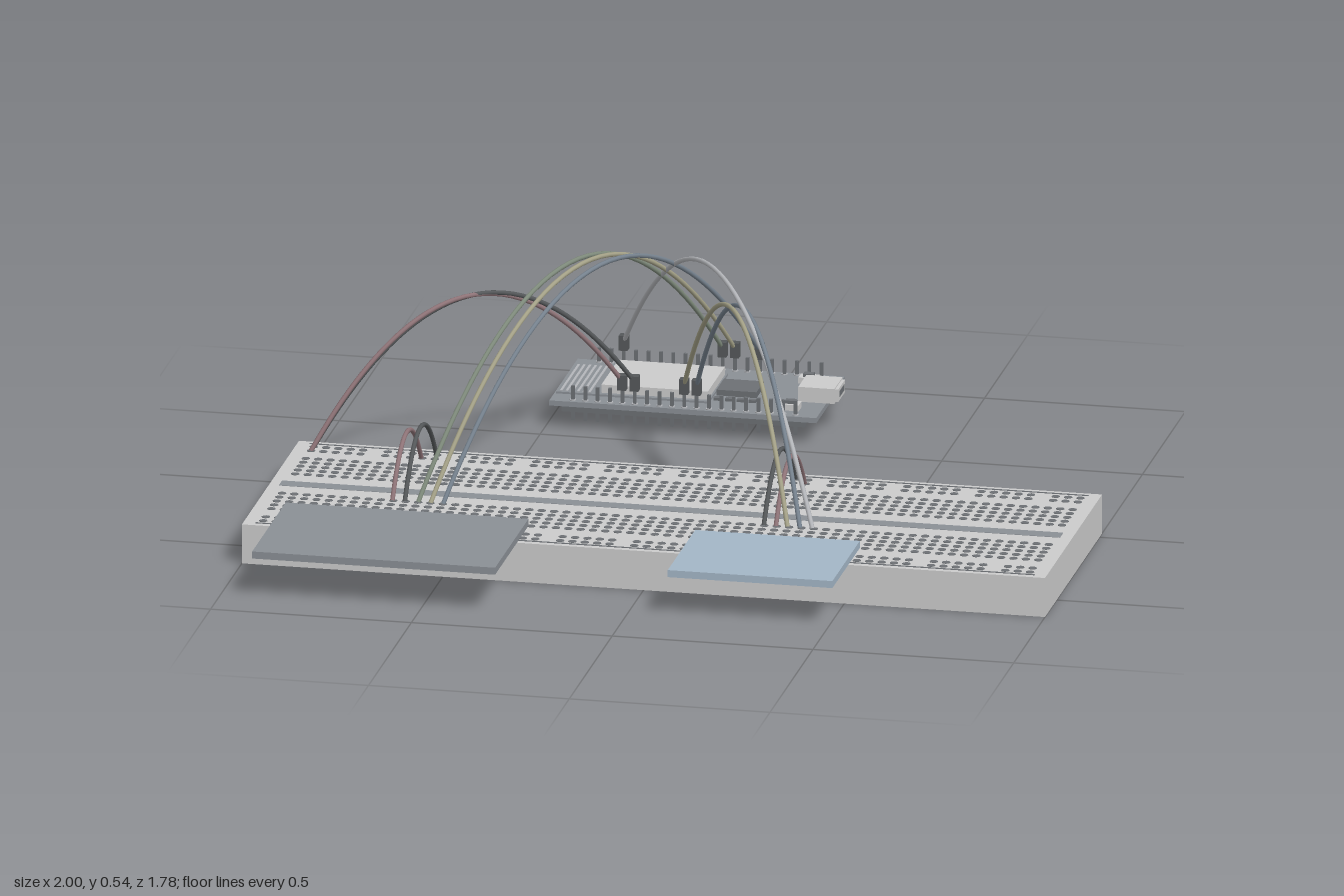
import * as THREE from 'three';
import { mergeGeometries } from 'three/addons/utils/BufferGeometryUtils.js';

const material = (color) => new THREE.MeshStandardMaterial({ color });
const GREY = material(0xcccccc), DARK = material(0x8a8f95), DEEP = material(0x6c7074);
const BLUE = material(0xa3b6c6), BLACK = material(0x55585a), RED = material(0x8f7478);
const GREEN = material(0x7f8b7c), YELLOW = material(0xa5a288), SLATE = material(0x77838f), PALE = material(0xb4b6ba);

// Box given by its lower and upper limits along each axis
function box(x0, x1, y0, y1, z0, z1) {
  return new THREE.BoxGeometry(x1 - x0, y1 - y0, z1 - z0)
    .translate((x0 + x1) / 2, (y0 + y1) / 2, (z0 + z1) / 2);
}

function add(parent, name, geometry, mat) {
  const mesh = new THREE.Mesh(Array.isArray(geometry) ? mergeGeometries(geometry) : geometry, mat);
  mesh.name = name;
  parent.add(mesh);
  return mesh;
}

function group(parent, name) {
  const g = new THREE.Group();
  g.name = name;
  parent.add(g);
  return g;
}

const PITCH = 0.0308;

function buildBreadboard(root) {
  const g = group(root, 'breadboard');
  add(g, 'breadboardBody', box(-1, 1, 0, 0.1, -0.03, 0.635), GREY);
  add(g, 'centreChannel', box(-0.975, 0.97, 0.099, 0.101, 0.283, 0.321), DARK);
  // Lines along the outer edges of the power rails
  add(g, 'railLines', [-0.013, 0.617].map((z) => box(-0.97, 0.97, 0.099, 0.101, z - 0.003, z + 0.003)), DEEP);

  // Contact holes: two five-row fields and two rails in clusters of five
  const holes = [];
  const hole = (x, z) => holes.push(new THREE.CylinderGeometry(0.0105, 0.0105, 0.002, 8).translate(x, 0.1002, z));
  for (let c = 0; c < 63; c++) {
    const x = (c - 31) * PITCH;
    for (let r = 0; r < 5; r++) {
      hole(x, 0.102 + r * PITCH);
      hole(x, 0.379 + r * PITCH);
    }
    if (c % 6 !== 5) [0.01, 0.041, 0.567, 0.598].forEach((z) => hole(x, z));
  }
  add(g, 'contactHoles', holes, DEEP);
}

function buildController(root) {
  const g = group(root, 'controllerBoard');
  add(g, 'circuitBoard', box(-0.49, 0.175, 0.055, 0.068, -0.892, -0.56), DARK);

  // Header strips below the board, with pins through it
  const pins = [], strips = [], pads = [];
  for (const z of [-0.878, -0.574]) {
    strips.push(box(-0.46, 0.145, 0.042, 0.055, z - 0.013, z + 0.013));
    for (let i = 0; i < 19; i++) {
      const x = -0.434 + i * PITCH;
      pins.push(box(x - 0.004, x + 0.004, 0.018, 0.105, z - 0.004, z + 0.004));
      pads.push(new THREE.CylinderGeometry(0.008, 0.008, 0.003, 8).translate(x, 0.069, z));
    }
  }
  add(g, 'headerStrips', strips, DEEP);
  add(g, 'headerPins', pins, DEEP);
  add(g, 'solderPads', pads, PALE);

  // Radio module: carrier, shield can and antenna traces
  add(g, 'radioCarrier', box(-0.485, -0.105, 0.068, 0.073, -0.84, -0.617), DARK);
  add(g, 'shieldCan', box(-0.375, -0.11, 0.073, 0.094, -0.828, -0.63), GREY);
  const traces = [];
  for (let i = 0; i < 6; i++) {
    const x = -0.474 + i * 0.014;
    traces.push(box(x - 0.003, x + 0.003, 0.073, 0.075, -0.832, -0.625));
  }
  add(g, 'antennaTraces', traces, PALE);

  add(g, 'interfaceChip', box(-0.1, 0, 0.068, 0.083, -0.77, -0.682), DEEP);
  const parts = [];
  for (let i = 0; i < 4; i++) {
    const x = -0.09 + i * 0.029;
    parts.push(box(x - 0.009, x + 0.009, 0.068, 0.075, -0.657, -0.643));
  }
  add(g, 'smallComponents', parts, DEEP);

  // Cable socket with a dark opening
  add(g, 'cableSocket', [box(0.105, 0.195, 0.068, 0.106, -0.773, -0.677),
    box(0.195, 0.203, 0.071, 0.103, -0.765, -0.685)], GREY);
  add(g, 'socketOpening', box(0.202, 0.204, 0.08, 0.095, -0.753, -0.697), DEEP);

  // Push buttons
  for (const z of [-0.833, -0.62]) {
    add(g, 'buttonBase', box(0.075, 0.122, 0.068, 0.083, z - 0.017, z + 0.017), GREY);
    add(g, 'buttonCap', box(0.086, 0.111, 0.083, 0.091, z - 0.009, z + 0.009), DEEP);
  }
}

// Arched jumper wire; ends on the controller get a plug housing
function wire(parent, [x0, z0], [x1, z1], peak, mat, plugged) {
  const y0 = 0.1, y1 = plugged ? 0.125 : 0.1;
  const control = new THREE.Vector3((x0 + x1) / 2, 2 * peak - (y0 + y1) / 2, (z0 + z1) / 2);
  const curve = new THREE.QuadraticBezierCurve3(
    new THREE.Vector3(x0, y0, z0), control, new THREE.Vector3(x1, y1, z1));
  add(parent, 'jumperWire', new THREE.TubeGeometry(curve, 40, 0.0058, 8), mat);
  if (plugged) add(parent, 'wirePlug', box(x1 - 0.011, x1 + 0.011, 0.104, 0.142, z1 - 0.011, z1 + 0.011), BLACK);
}

export function createModel() {
  const root = new THREE.Group();
  root.name = 'breadboardCircuit';
  buildBreadboard(root);
  buildController(root);

  // Flat modules overhanging the front edge
  add(root, 'largeModule', box(-0.92, -0.315, 0.1, 0.118, 0.5, 0.89), DARK);
  add(root, 'smallModule', box(0.1, 0.51, 0.1, 0.118, 0.5, 0.82), BLUE);

  const wires = group(root, 'wires');
  const near = -0.574, far = -0.878;
  // Power leads
  wire(wires, [-0.955, 0.041], [-0.311, near], 0.42, RED, true);
  wire(wires, [-0.955, 0.01], [-0.28, near], 0.42, BLACK, true);
  // Signal leads to the far header
  wire(wires, [-0.616, 0.379], [-0.126, far], 0.53, GREEN, true);
  wire(wires, [-0.585, 0.379], [-0.095, far], 0.53, YELLOW, true);
  wire(wires, [-0.554, 0.379], [-0.034, far], 0.53, SLATE, true);
  wire(wires, [0.366, 0.379], [-0.372, far], 0.53, PALE, true);
  // Signal leads to the near header
  wire(wires, [0.304, 0.379], [-0.157, near], 0.48, YELLOW, true);
  wire(wires, [0.335, 0.379], [-0.126, near], 0.48, SLATE, true);
  // Short links from the rail to the terminal field
  wire(wires, [-0.68, 0.379], [-0.68, 0.041], 0.222, RED, false);
  wire(wires, [-0.649, 0.379], [-0.649, 0.01], 0.232, BLACK, false);
  wire(wires, [0.245, 0.379], [0.245, 0.01], 0.232, BLACK, false);
  wire(wires, [0.275, 0.379], [0.275, 0.041], 0.222, RED, false);

  return root;
}
